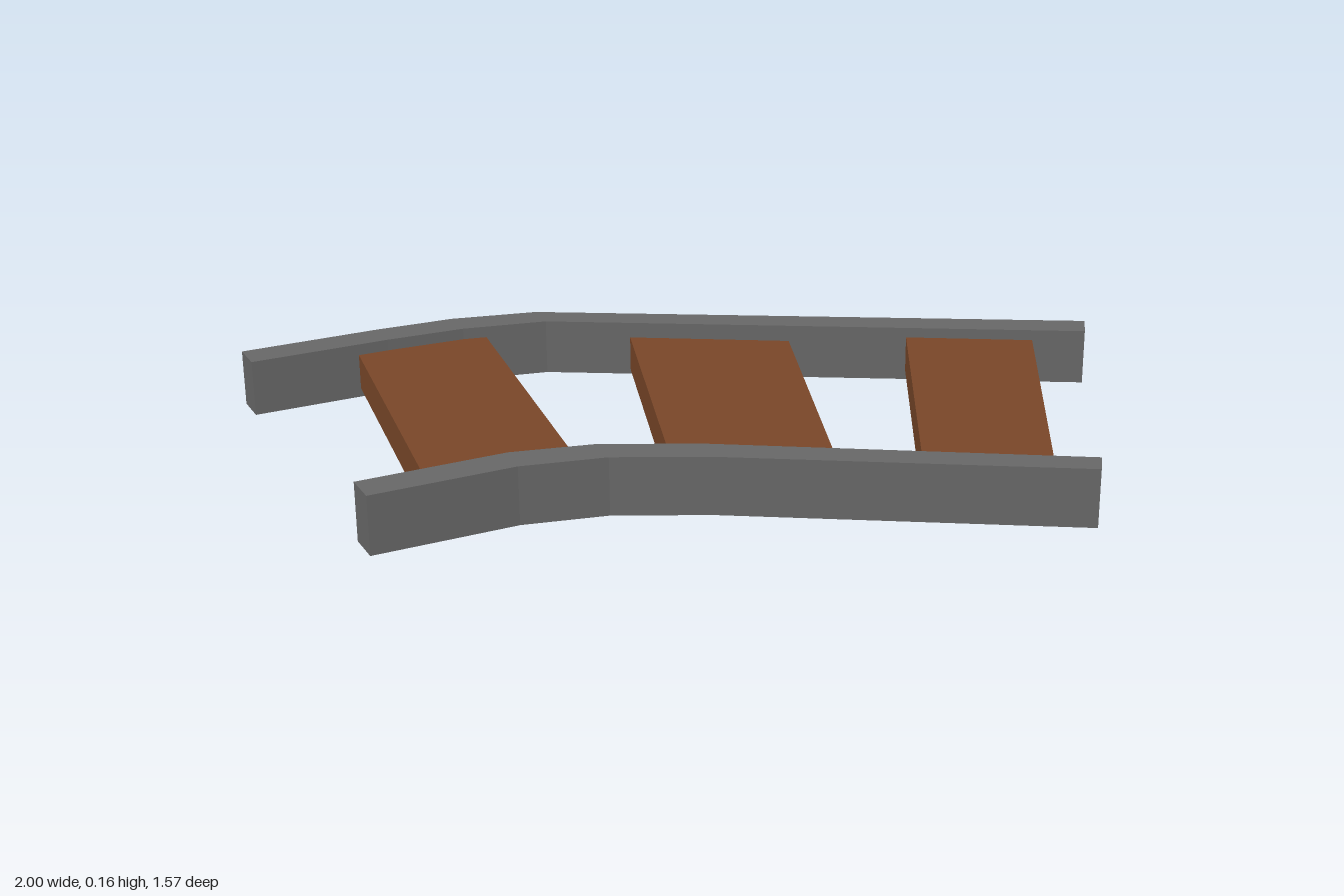
import * as THREE from 'three';

const railMaterial = new THREE.MeshStandardMaterial({ color: 0x666666, flatShading: true });
const woodMaterial = new THREE.MeshStandardMaterial({ color: 0x784628, flatShading: true });

// Upright prism over an [x, z] outline; the whole prism rises by slope towards -z.
function prism(name, outline, bottom, top, material, slope = 0) {
  const shape = new THREE.Shape(outline.map(([x, z]) => new THREE.Vector2(x, -z)));
  const geometry = new THREE.ExtrudeGeometry(shape, { depth: top - bottom, bevelEnabled: false });
  geometry.rotateX(-Math.PI / 2);
  geometry.translate(0, bottom, 0);
  const pos = geometry.attributes.position;
  for (let i = 0; i < pos.count; i++) pos.setY(i, pos.getY(i) - slope * pos.getZ(i));
  geometry.computeVertexNormals();
  const mesh = new THREE.Mesh(geometry, material);
  mesh.name = name;
  return mesh;
}

export function createModel() {
  const group = new THREE.Group();
  group.name = 'bentLadder';

  // Side rails: outer edge, then inner edge back to the start
  group.add(prism('backRail', [
    [-1, -0.785], [-0.65, -0.785], [-0.45, -0.775], [-0.235, -0.725], [1, -0.01],
    [0.955, 0.055], [-0.24, -0.645], [-0.45, -0.69], [-0.65, -0.7], [-1, -0.7],
  ], 0.017, 0.157, railMaterial));
  group.add(prism('frontRail', [
    [-1, 0.175], [-0.65, 0.175], [-0.45, 0.22], [-0.24, 0.325], [0.49, 0.78],
    [0.53, 0.725], [-0.235, 0.24], [-0.45, 0.135], [-0.64, 0.09], [-1, 0.09],
  ], 0, 0.143, railMaterial));

  // Flat treads between the rails: corners, height of the underside at z = 0
  const treads = [
    [[[-0.725, -0.71], [-0.39, -0.695], [-0.495, 0.135], [-0.84, 0.1]], 0.033],
    [[[-0.05, -0.54], [0.305, -0.335], [0.03, 0.415], [-0.295, 0.215]], 0.023],
    [[[0.565, -0.18], [0.845, -0.02], [0.44, 0.675], [0.19, 0.515]], 0.04],
  ];
  treads.forEach(([corners, y], i) => {
    group.add(prism(`tread${i + 1}`, corners, y, y + 0.09, woodMaterial, 0.008));
  });

  return group;
}
